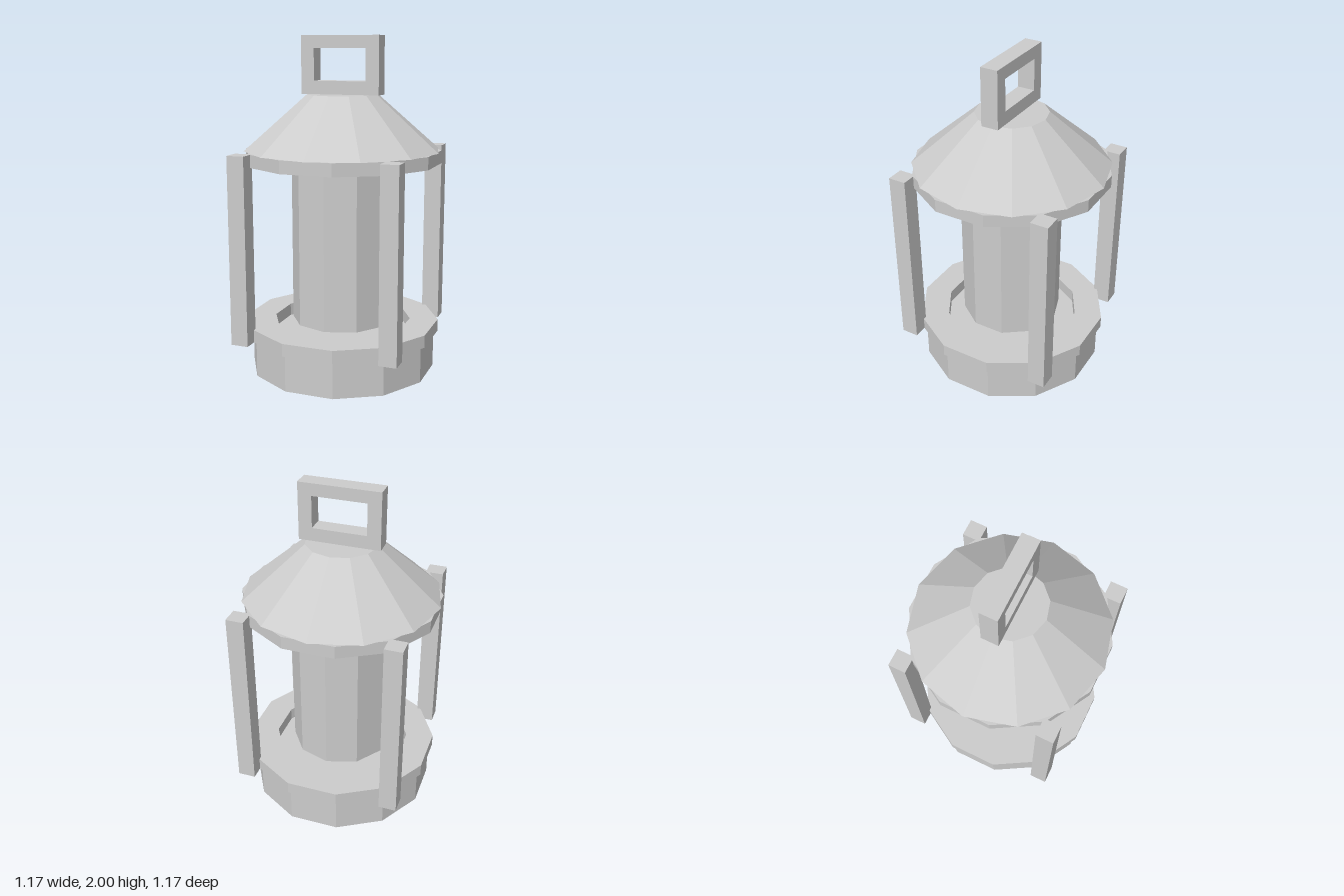
import * as THREE from 'three';

const metal = new THREE.MeshStandardMaterial({ color: 0xcccccc, flatShading: true });
metal.name = 'grey metal';

export function createModel() {
  const model = new THREE.Group();
  model.name = 'lantern';

  const add = (name, geometry, x = 0, y = 0, z = 0) => {
    const mesh = new THREE.Mesh(geometry, metal);
    mesh.name = name;
    mesh.position.set(x, y, z);
    model.add(mesh);
    return mesh;
  };

  // Faceted drum between two heights; turn rotates its corners
  const drum = (name, rTop, rBottom, y0, y1, sides, turn = 0) =>
    add(name, new THREE.CylinderGeometry(rTop, rBottom, y1 - y0, sides, 1, false, turn), 0, (y0 + y1) / 2);

  // Closed twelve-sided ring with a square section
  const ring = (name, inner, outer, y0, y1) => {
    const section = [[inner, y0], [outer, y0], [outer, y1], [inner, y1], [inner, y0]]
      .map(([r, y]) => new THREE.Vector2(r, y));
    return add(name, new THREE.LatheGeometry(section, 12, Math.PI / 12));
  };

  // Base and the two collars
  drum('base', 0.56, 0.56, 0, 0.22, 12, Math.PI / 12);
  ring('lowerCollar', 0.415, 0.585, 0.22, 0.295);
  ring('upperCollar', 0.415, 0.585, 1.26, 1.335);

  // Ten-sided lamp body
  drum('lampBody', 0.305, 0.305, 0.295, 1.23, 10);

  // Sloped roof
  drum('roof', 0.213, 0.585, 1.335, 1.66, 12);

  // Four corner posts
  for (const x of [-0.452, 0.452]) {
    for (const z of [-0.452, 0.452]) {
      add('post', new THREE.BoxGeometry(0.105, 1.115, 0.105), x, 0.7775, z);
    }
  }

  // Carrying handle: flat frame with a rectangular opening
  const rect = (path, w, y0, y1) =>
    path.moveTo(-w, y0).lineTo(w, y0).lineTo(w, y1).lineTo(-w, y1).closePath();
  const frame = new THREE.Shape();
  rect(frame, 0.24, 1.66, 2);
  const opening = new THREE.Path();
  rect(opening, 0.16, 1.738, 1.927);
  frame.holes.push(opening);
  add('handle', new THREE.ExtrudeGeometry(frame, { depth: 0.104, bevelEnabled: false }), 0, 0, -0.052);

  return model;
}
